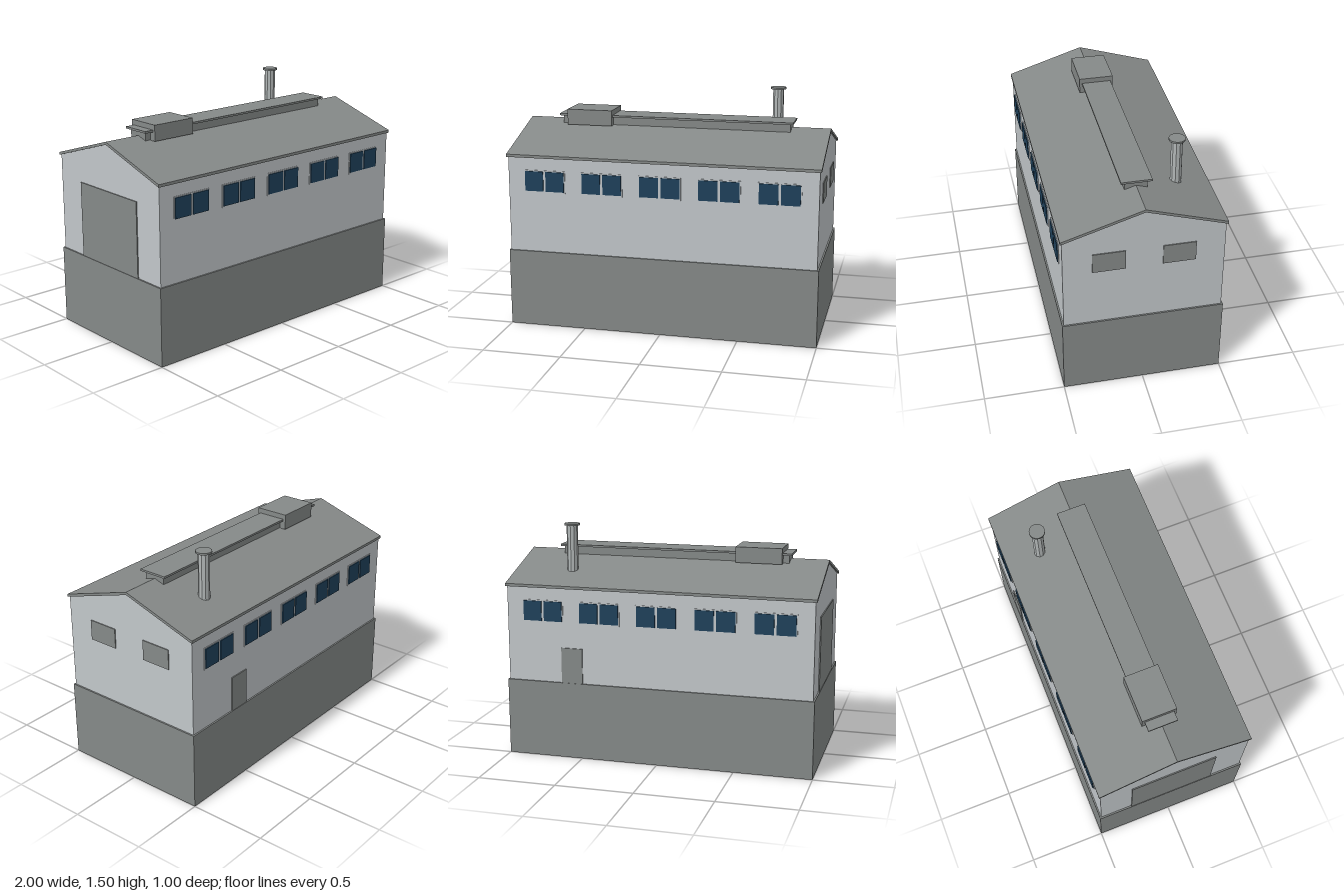
import * as THREE from 'three';

export function createModel() {
  const building = new THREE.Group();
  building.name = 'building';

  const mat = (name, color) => {
    const m = new THREE.MeshStandardMaterial({ color });
    m.name = name;
    return m;
  };
  const grey = mat('slate grey', 0x858988);
  const light = mat('pale wall', 0xc2c7ca);
  const metal = mat('flue metal', 0xb2b7b7);
  const glass = mat('dark blue glass', 0x1f415b);

  const add = (name, geometry, material, parent = building) => {
    const mesh = new THREE.Mesh(geometry, material);
    mesh.name = name;
    parent.add(mesh);
    return mesh;
  };
  // Box given by its lower and upper corners
  const box = (name, material, [x0, y0, z0], [x1, y1, z1], parent) => {
    const g = new THREE.BoxGeometry(x1 - x0, y1 - y0, z1 - z0);
    g.translate((x0 + x1) / 2, (y0 + y1) / 2, (z0 + z1) / 2);
    return add(name, g, material, parent);
  };
  // Symmetric gable section, given as (z, y) points, run along x
  const prism = (name, points, halfLength, material) => {
    const shape = new THREE.Shape(points.map(([z, y]) => new THREE.Vector2(z, y)));
    const g = new THREE.ExtrudeGeometry(shape, { depth: halfLength * 2, bevelEnabled: false });
    g.translate(0, 0, -halfLength);
    g.rotateY(Math.PI / 2);
    return add(name, g, material);
  };

  // Plinth, gabled walls and roof slab
  box('base', grey, [-1, 0, -0.5], [1, 0.5, 0.5]);
  prism('walls', [[-0.49, 0.5], [0.49, 0.5], [0.49, 1.117], [0, 1.272], [-0.49, 1.117]], 0.99, light);
  prism('roof', [[-0.5, 1.114], [0, 1.272], [0.5, 1.114], [0.5, 1.132], [0, 1.29], [-0.5, 1.132]], 1, grey);

  // Five double windows on each long side
  for (const side of [1, -1]) {
    for (let i = -2; i <= 2; i++) {
      const win = new THREE.Group();
      win.name = 'doubleWindow';
      box('windowFrame', light, [-0.135, 0.89, 0.488], [0.135, 1.035, 0.494], win);
      for (const s of [-1, 1]) {
        box('pane', glass, [s * 0.068 - 0.06, 0.9, 0.492], [s * 0.068 + 0.06, 1.028, 0.5], win);
      }
      win.rotation.y = side > 0 ? 0 : Math.PI;
      win.position.x = i * 0.375;
      building.add(win);
    }
  }

  // Shutters on one end, large gate on the other, small door at the back
  for (const s of [-1, 1]) {
    box('shutter', grey, [0.988, 0.88, s * 0.213 - 0.1], [0.996, 1.01, s * 0.213 + 0.1]);
  }
  box('gate', grey, [-0.997, 0.5, -0.28], [-0.988, 0.98, 0.28]);
  box('backDoor', grey, [0.49, 0.5, -0.497], [0.63, 0.73, -0.488]);

  // Ridge ventilator
  box('ridgeVent', grey, [-0.755, 1.265, -0.07], [0.75, 1.32, 0.07]);
  box('ridgeVentCap', grey, [-0.775, 1.32, -0.095], [0.77, 1.333, 0.095]);
  box('ridgeHousing', grey, [-0.715, 1.265, -0.112], [-0.415, 1.366, 0.112]);

  // Chimney flue with a flat cap
  const chimney = new THREE.Group();
  chimney.name = 'chimney';
  chimney.position.set(0.62, 0, -0.275);
  building.add(chimney);
  const flue = new THREE.CylinderGeometry(0.036, 0.036, 0.33, 10).toNonIndexed();
  flue.computeVertexNormals();
  add('flue', flue, metal, chimney).position.y = 1.325;
  add('flueCap', new THREE.CylinderGeometry(0.05, 0.05, 0.012, 20), grey, chimney).position.y = 1.495;

  return building;
}
